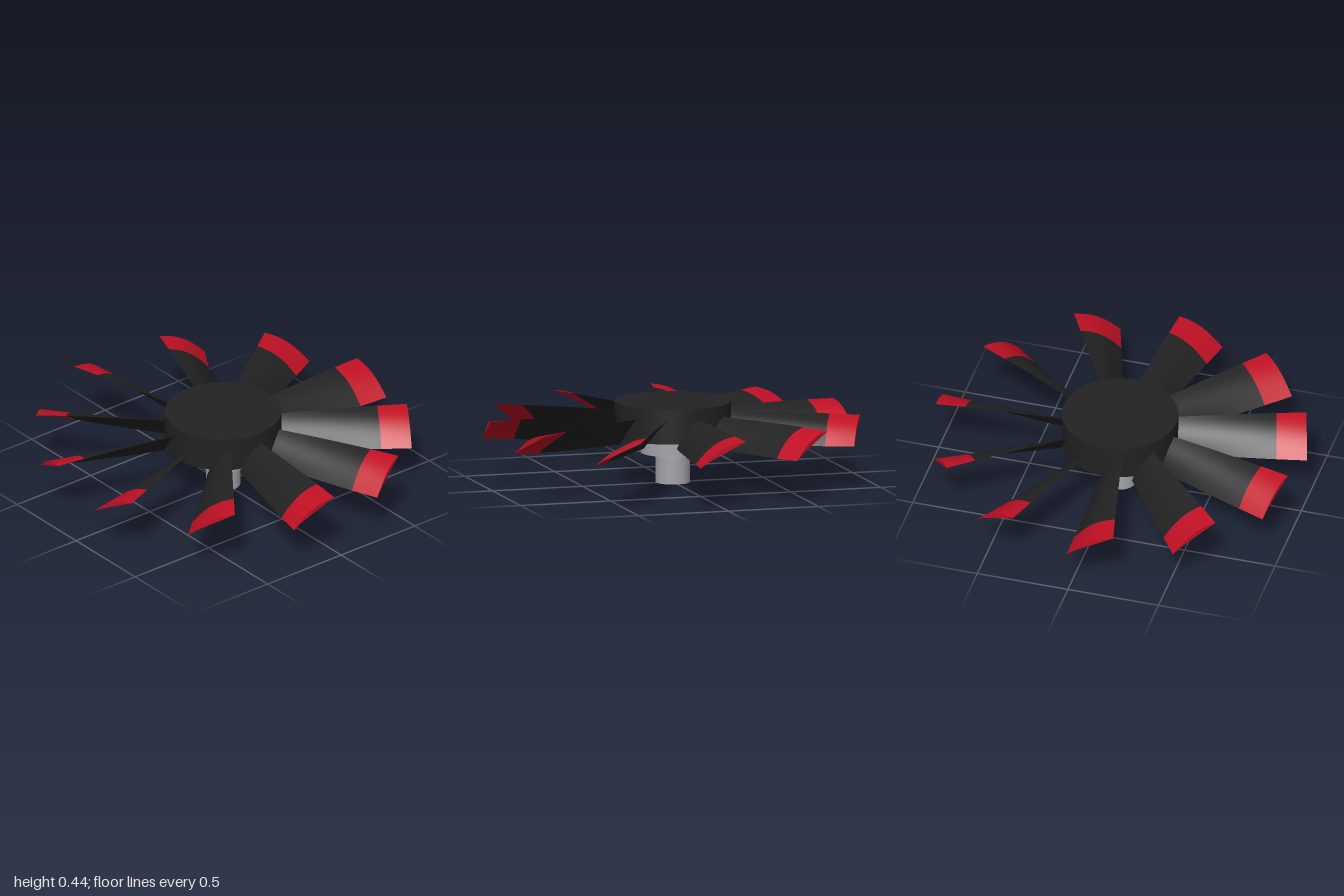
import * as THREE from 'three';
import { toCreasedNormals } from 'three/addons/utils/BufferGeometryUtils.js';

const BLADES = 11, ROOT = 0.305, BAND = 0.83, TIP = 0.99, N = 10;

// Cambered, twisted airfoil section at distance r from the axis
function section(r) {
  const t = (r - ROOT) / (TIP - ROOT), lerp = THREE.MathUtils.lerp;
  const angle = THREE.MathUtils.degToRad(lerp(50, 27.5, t));
  const chord = lerp(0.194, 0.281, t);
  const cz = lerp(0.009, 0.025, t), cy = 0.3;
  const c = Math.cos(angle), s = Math.sin(angle);
  const point = (k, side) => {
    const u = k / N;
    const camber = 0.06 * 4 * u * (1 - u);
    const half = 0.045 * Math.sin(Math.PI * Math.pow(u, 1.25));
    const a = (u - 0.5) * chord, h = (camber + side * half) * chord;
    return [r, cy + a * s + h * c, cz - a * c + h * s];
  };
  const loop = [];
  for (let k = 0; k <= N; k++) loop.push(point(k, 1));
  for (let k = N - 1; k > 0; k--) loop.push(point(k, -1));
  return loop;
}

// Skin sections between two radii and close both ends
function bladePiece(r0, r1, steps) {
  const positions = [], index = [], M = 2 * N;
  for (let i = 0; i <= steps; i++) {
    section(r0 + (r1 - r0) * i / steps).forEach(p => positions.push(...p));
  }
  for (let i = 0; i < steps; i++) {
    for (let j = 0; j < M; j++) {
      const a = i * M + j, b = i * M + (j + 1) % M;
      index.push(a, a + M, b, a + M, b + M, b);
    }
  }
  const o = steps * M;
  for (let k = 0; k < N; k++) {
    const u0 = k, u1 = k + 1, l1 = M - k - 1, l0 = (M - k) % M;
    if (k < N - 1) index.push(u0, u1, l1, o + u0, o + l1, o + u1);
    if (k > 0) index.push(u0, l1, l0, o + u0, o + l0, o + l1);
  }
  const g = new THREE.BufferGeometry();
  g.setAttribute('position', new THREE.Float32BufferAttribute(positions, 3));
  g.setIndex(index);
  return toCreasedNormals(g, Math.PI / 5);
}

export function createModel() {
  const material = (name, color) => {
    const m = new THREE.MeshStandardMaterial({ color });
    m.name = name;
    return m;
  };
  const black = material('black', 0x222223);
  const red = material('red', 0xc01024);
  const steel = material('steel', 0xa3a4aa);

  const fan = new THREE.Group();
  fan.name = 'fan';

  const disc = (name, radius, y0, y1, mat) => {
    const mesh = new THREE.Mesh(new THREE.CylinderGeometry(radius, radius, y1 - y0, 64), mat);
    mesh.name = name;
    mesh.position.y = (y0 + y1) / 2;
    fan.add(mesh);
  };

  // Hub with collar and motor shaft below
  disc('hub', 0.309, 0.25, 0.437, black);
  disc('collar', 0.17, 0.16, 0.25, steel);
  disc('shaft', 0.092, 0, 0.145, steel);

  // Ring of blades with coloured tips
  const body = bladePiece(ROOT, BAND, 8), tip = bladePiece(BAND, TIP, 3);
  for (let i = 0; i < BLADES; i++) {
    const blade = new THREE.Group();
    blade.name = 'blade';
    const bodyMesh = new THREE.Mesh(body, black);
    bodyMesh.name = 'bladeBody';
    const tipMesh = new THREE.Mesh(tip, red);
    tipMesh.name = 'bladeTip';
    blade.add(bodyMesh, tipMesh);
    blade.rotation.y = i * 2 * Math.PI / BLADES;
    fan.add(blade);
  }
  return fan;
}
